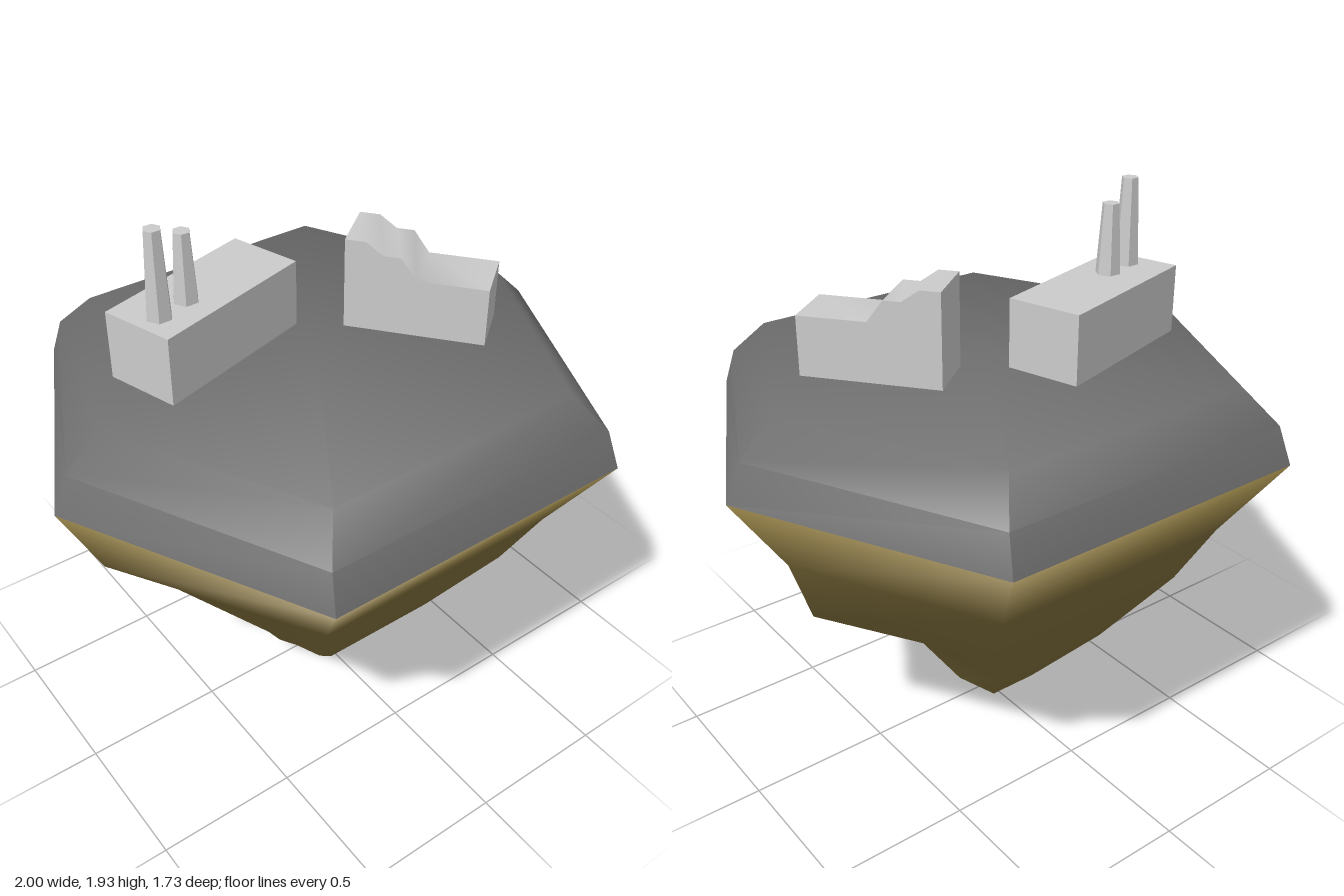
import * as THREE from 'three';
import { mergeVertices, toCreasedNormals } from 'three/addons/utils/BufferGeometryUtils.js';

const grey = new THREE.MeshStandardMaterial({ color: 0xcccccc });
const slabGrey = new THREE.MeshStandardMaterial({ color: 0x6f6f6f });
const earth = new THREE.MeshStandardMaterial({ color: 0x87753f });

// Closed loft through six-cornered rings, bottom to top.
// Ring: [y, left tip x, right tip x, side corner x, side corner z]
function hexLoft(rings) {
  const pos = [], index = [], n = rings.length;
  for (const [y, l, r, cx, cz] of rings) {
    pos.push(r, y, 0, cx, y, cz, -cx, y, cz, l, y, 0, -cx, y, -cz, cx, y, -cz);
  }
  const bottom = n * 6, top = bottom + 1;
  pos.push(0, rings[0][0], 0, 0, rings[n - 1][0], 0);
  for (let k = 0; k < 6; k++) {
    const k1 = (k + 1) % 6;
    for (let i = 0; i < n - 1; i++) {
      const a = i * 6 + k, b = i * 6 + k1, c = a + 6, d = b + 6;
      index.push(a, c, b, b, c, d);
    }
    index.push(bottom, k, k1, top, (n - 1) * 6 + k1, (n - 1) * 6 + k);
  }
  const g = new THREE.BufferGeometry();
  g.setAttribute('position', new THREE.Float32BufferAttribute(pos, 3));
  g.setIndex(index);
  g.computeVertexNormals();
  return g;
}

function add(group, name, geometry, material, x = 0, y = 0, z = 0, turn = 0) {
  const mesh = new THREE.Mesh(geometry, material);
  mesh.name = name;
  mesh.position.set(x, y, z);
  mesh.rotation.y = turn;
  group.add(mesh);
  return mesh;
}

export function createModel() {
  const model = new THREE.Group();
  model.name = 'floatingIsland';

  // Tapering rock underside, with a bulge on its left tip
  add(model, 'rockUnderside', mergeVertices(hexLoft([
    [0, -0.03, 0.04, 0.02, 0.03],
    [0.085, -0.18, 0.135, 0.09, 0.155],
    [0.35, -0.36, 0.32, 0.22, 0.385],
    [0.62, -0.62, 0.735, 0.4, 0.56],
    [0.85, -0.86, 0.81, 0.46, 0.68],
    [1.14, -1, 1, 0.57, 0.865],
  ])), earth);

  // Hexagonal ground slab with bevelled rim
  add(model, 'groundSlab', toCreasedNormals(hexLoft([
    [1.14, -1, 1, 0.57, 0.865],
    [1.27, -0.945, 0.945, 0.55, 0.82],
    [1.39, -0.82, 0.82, 0.47, 0.715],
  ]), THREE.MathUtils.degToRad(50)), slabGrey);

  // Long hall
  add(model, 'hall', new THREE.BoxGeometry(0.615, 0.24, 0.265), grey, -0.313, 1.51, -0.183, 0.28);

  // Tapered six-sided chimneys standing on the hall roof
  for (const [x, z, topY] of [[-0.525, -0.1, 1.93], [-0.405, -0.14, 1.87]]) {
    const h = topY - 1.63;
    const g = new THREE.CylinderGeometry(0.029, 0.044, h, 6).toNonIndexed();
    g.computeVertexNormals();
    add(model, 'chimney', g, grey, x, 1.63 + h / 2, z, Math.PI / 6);
  }

  // Stepped building: side profile extruded across its width
  const profile = [
    [0, 0], [0.484, 0], [0.484, 0.207], [0.245, 0.207], [0.19, 0.283],
    [0.13, 0.283], [0.07, 0.326], [0, 0.326],
  ].map(([s, y]) => new THREE.Vector2(s - 0.242, y));
  const stepped = new THREE.ExtrudeGeometry(new THREE.Shape(profile), { depth: 0.207, bevelEnabled: false });
  stepped.translate(0, 0, -0.1035);
  add(model, 'steppedBuilding', toCreasedNormals(stepped, THREE.MathUtils.degToRad(60)), grey,
    0.372, 1.39, 0.09, -Math.atan2(0.38, 0.3));

  return model;
}
